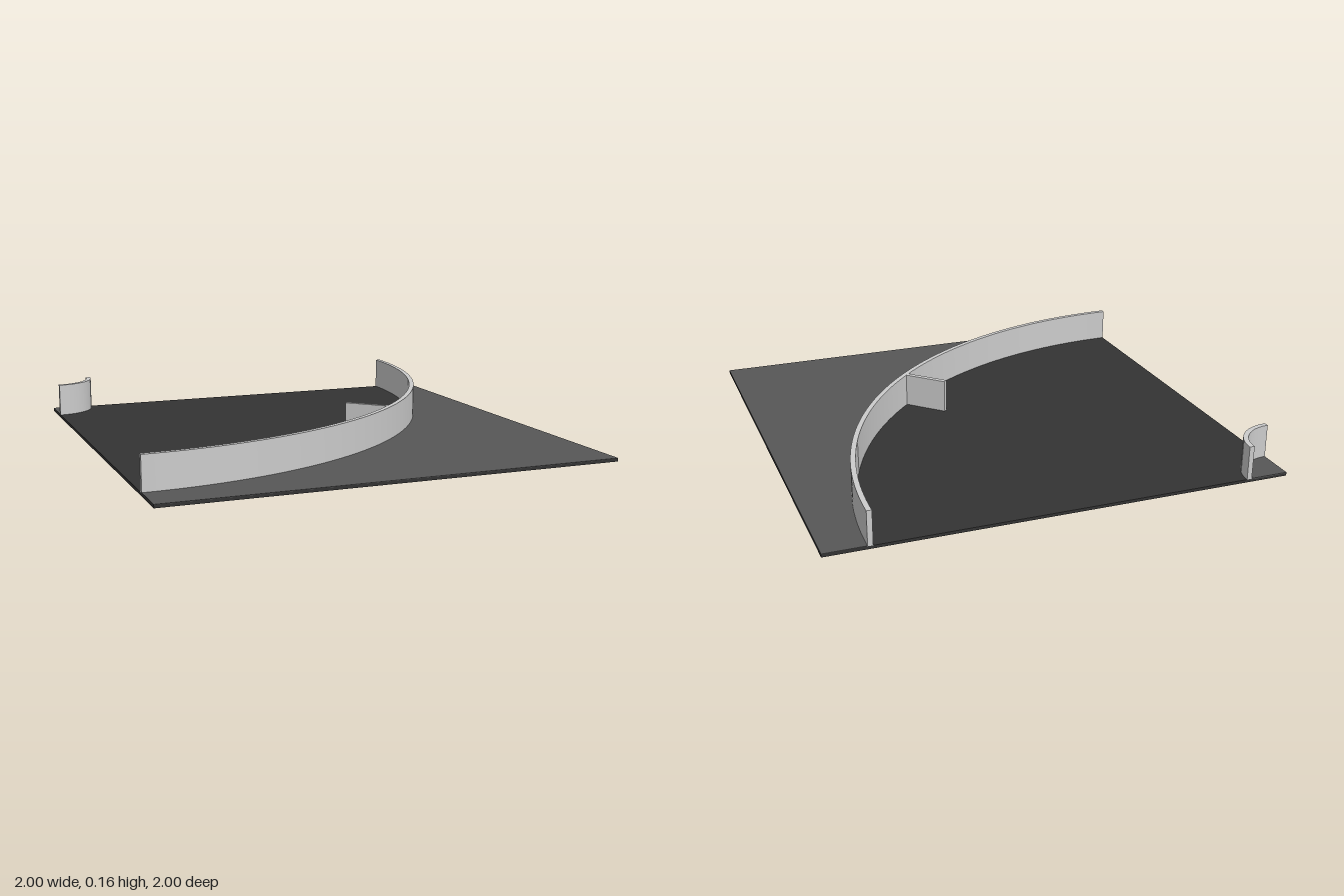
import * as THREE from 'three';
import { toCreasedNormals } from 'three/addons/utils/BufferGeometryUtils.js';

const BASE = 0.013, TOP = 0.162, WALL = 0.022;
const OUTER = 1.822, INNER = 0.19;

export function createModel() {
  const group = new THREE.Group();
  const material = (color) => new THREE.MeshStandardMaterial({ color });
  const wallMat = material(0xcccccc);
  const floorMat = material(0x333333);
  const vergeMat = material(0x575757);

  function add(name, geometry, mat) {
    const mesh = new THREE.Mesh(geometry, mat);
    mesh.name = name;
    group.add(mesh);
    return mesh;
  }

  // Extrudes a plan drawn from the back corner (x, z) between two heights
  function slab(name, shape, bottom, top, mat) {
    const flat = new THREE.ExtrudeGeometry(shape, {
      depth: top - bottom, bevelEnabled: false, curveSegments: 64,
    });
    flat.rotateX(Math.PI / 2).translate(-1, top, -1);
    return add(name, toCreasedNormals(flat, 0.5), mat);
  }

  // Quarter ring between two radii
  function quarterRing(outer, inner) {
    const s = new THREE.Shape();
    s.moveTo(inner, 0);
    s.lineTo(outer, 0);
    s.absarc(0, 0, outer, 0, Math.PI / 2, false);
    s.lineTo(0, inner);
    s.absarc(0, 0, inner, Math.PI / 2, 0, true);
    return s;
  }

  // Square floor tile
  add('floor', new THREE.BoxGeometry(2, BASE, 2).translate(0, BASE / 2, 0), floorMat);

  // Lighter ground outside the large curve
  const verge = new THREE.Shape();
  verge.moveTo(OUTER - WALL / 2, 0);
  verge.lineTo(2, 0);
  verge.lineTo(2, 2);
  verge.lineTo(0, 2);
  verge.lineTo(0, OUTER - WALL / 2);
  verge.absarc(0, 0, OUTER - WALL / 2, Math.PI / 2, 0, true);
  slab('outerGround', verge, BASE - 0.003, BASE + 0.002, vergeMat);

  // Lighter ground inside the small curve
  const corner = new THREE.Shape();
  corner.moveTo(0, 0);
  corner.lineTo(INNER - WALL / 2, 0);
  corner.absarc(0, 0, INNER - WALL / 2, 0, Math.PI / 2, false);
  slab('innerGround', corner, BASE - 0.003, BASE + 0.002, vergeMat);

  // Curved walls
  slab('outerWall', quarterRing(OUTER, OUTER - WALL), BASE, TOP, wallMat);
  slab('innerWall', quarterRing(INNER, INNER - WALL), BASE, TOP, wallMat);

  // Short diagonal divider reaching inward from the outer wall
  const from = 1.6, to = OUTER - WALL / 2;
  const divider = new THREE.BoxGeometry(to - from, TOP - BASE, WALL);
  divider.translate((from + to) / 2, (TOP + BASE) / 2, 0);
  divider.rotateY(-Math.PI / 4).translate(-1, 0, -1);
  add('divider', divider, wallMat);

  return group;
}
